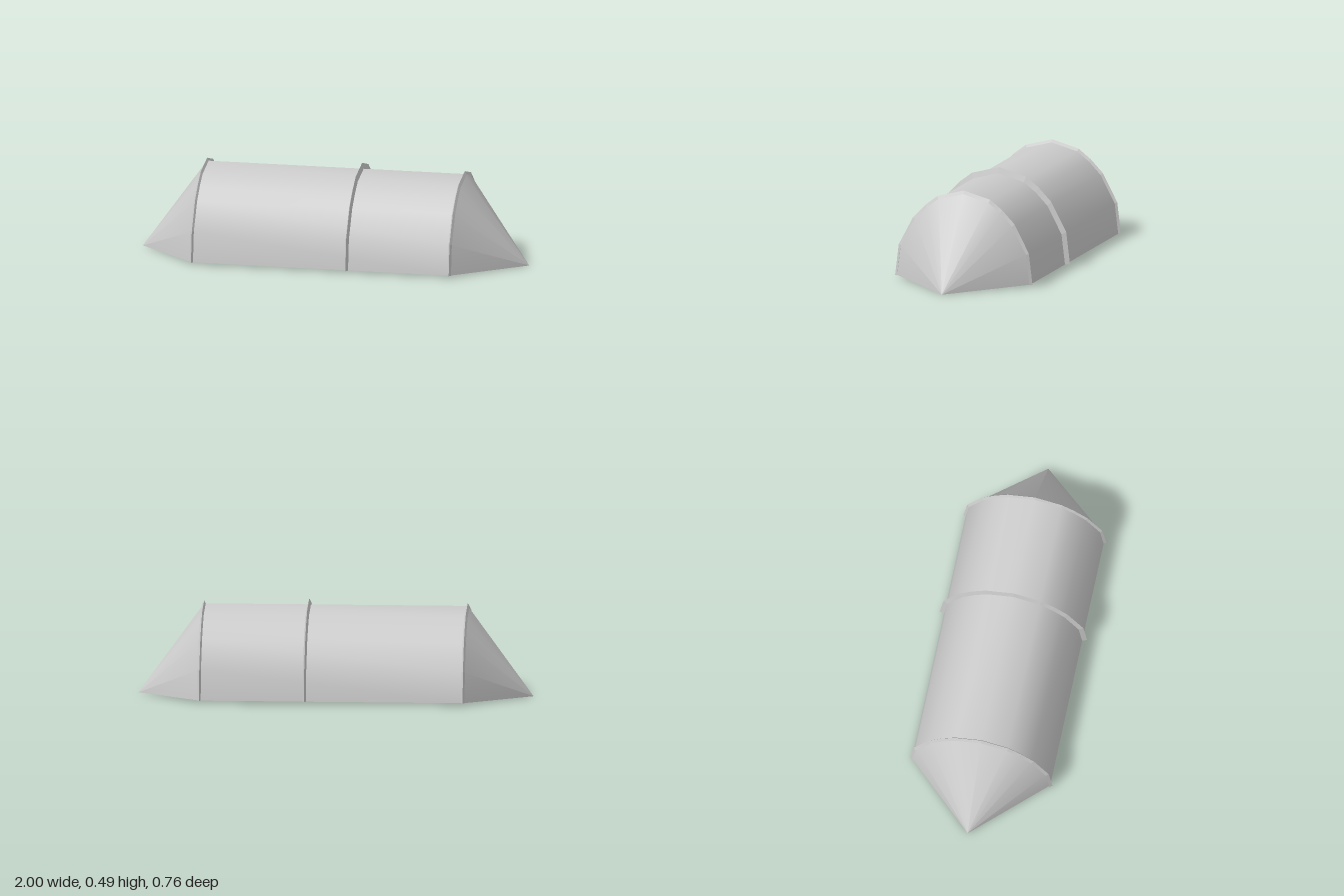
import * as THREE from 'three';

const BASE = 0.014, END_X = 0.667, TIP = 0.003, SKIN = 0.937;

// Half of the arch as [z, height above the base], foot to peak
const HALF = [[0.38, 0], [0.36, 0.165], [0.28, 0.316], [0.212, 0.386], [0.145, 0.437], [0, 0.476]];
const ARCH = [...HALF, ...HALF.slice(0, -1).reverse().map(([z, y]) => [-z, y])];

const arch = (x, s) => ARCH.map(([z, y]) => [x, BASE + y * s, z * s]);
const tip = (x) => ARCH.map(() => [x, TIP, 0]);

// Skin stretched between cross-sections listed from -x to +x
function loft(rows) {
  const n = rows[0].length, index = [];
  for (let i = 0; i < rows.length - 1; i++) {
    for (let j = 0; j < n - 1; j++) {
      const a = i * n + j, b = a + n;
      index.push(a, b, a + 1, b, b + 1, a + 1);
    }
  }
  const g = new THREE.BufferGeometry();
  g.setAttribute('position', new THREE.Float32BufferAttribute(rows.flat(2), 3));
  g.setIndex(index);
  g.computeVertexNormals();
  return g;
}

export function createModel() {
  const model = new THREE.Group();
  model.name = 'tent';
  const fabric = new THREE.MeshStandardMaterial({ color: 0xcccccc, side: THREE.DoubleSide });
  const pole = new THREE.MeshStandardMaterial({ color: 0xcccccc, side: THREE.DoubleSide, flatShading: true });
  const add = (name, geometry, material) => {
    const mesh = new THREE.Mesh(geometry, material);
    mesh.name = name;
    model.add(mesh);
  };

  // Long arched canopy and the two pointed ends
  add('canopy', loft([arch(-END_X, SKIN), arch(END_X, SKIN)]), fabric);
  add('leftEnd', loft([arch(END_X, SKIN), tip(1)]), fabric);
  add('rightEnd', loft([tip(-1), arch(-END_X, SKIN)]), fabric);

  // Ridged hoops: one at each end of the canopy, a taller one off centre
  const hoop = (name, x, s) =>
    add(name, loft([arch(x - 0.009, SKIN - 0.005), arch(x, s), arch(x + 0.009, SKIN - 0.005)]), pole);
  hoop('rightHoop', -END_X, 0.968);
  hoop('middleHoop', 0.135, 1);
  hoop('leftHoop', END_X, 0.968);

  // Six-sided floor, its two points dipping slightly
  const z = HALF[0][0] * SKIN;
  const floor = new THREE.BufferGeometry();
  floor.setAttribute('position', new THREE.Float32BufferAttribute([
    -1, TIP, 0, -END_X, BASE, -z, END_X, BASE, -z, 1, TIP, 0, END_X, BASE, z, -END_X, BASE, z,
  ], 3));
  floor.setIndex([0, 1, 5, 1, 2, 4, 1, 4, 5, 2, 3, 4]);
  floor.computeVertexNormals();
  add('floor', floor, pole);

  return model;
}
